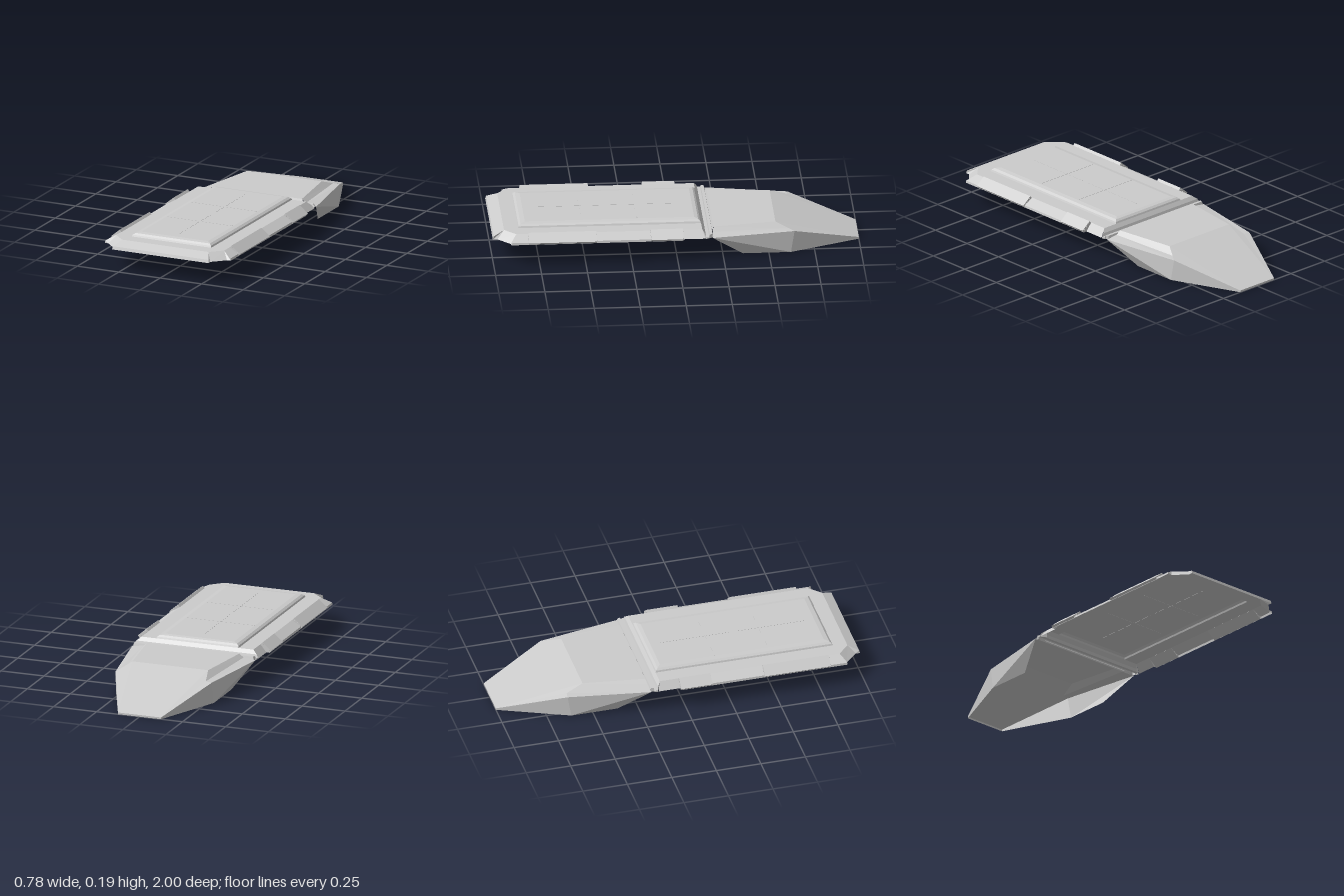
import * as THREE from 'three';

const mat = new THREE.MeshStandardMaterial({ color: 0xcccccc, flatShading: true, side: THREE.DoubleSide });

// Sheet-metal part from convex polygons; each one is also mirrored across x = 0
function sheet(name, polys, mirror = true) {
  const pos = [];
  const fan = (p) => {
    for (let i = 1; i < p.length - 1; i++) pos.push(...p[0], ...p[i], ...p[i + 1]);
  };
  for (const p of polys) {
    fan(p);
    if (mirror) fan(p.map(([x, y, z]) => [-x, y, z]).reverse());
  }
  const geo = new THREE.BufferGeometry();
  geo.setAttribute('position', new THREE.Float32BufferAttribute(pos, 3));
  geo.computeVertexNormals();
  const mesh = new THREE.Mesh(geo, mat);
  mesh.name = name;
  return mesh;
}

function box(name, w, h, d, x, y, z) {
  const mesh = new THREE.Mesh(new THREE.BoxGeometry(w, h, d), mat);
  mesh.position.set(x, y, z);
  mesh.name = name;
  return mesh;
}

// Wedge-shaped nose, open underneath
function createNose() {
  const g = new THREE.Group();
  g.name = 'nose';
  const tip = [0.125, 0.01, -1], tipLow = [0.125, 0, -1];
  const shoulder = [0.28, 0.12, -0.64], chine = [0.285, 0, -0.62];
  const chineRear = [0.285, 0, -0.36], rear = [0.358, 0.125, -0.19];
  const panelFront = [0.22, 0.155, -0.54], panelRear = [0.268, 0.155, -0.2];
  const ledgeFront = [0.243, 0.122, -0.635], ledgeRear = [0.292, 0.135, -0.195];
  g.add(sheet('noseSlope', [
    [[0, 0.155, -0.54], panelFront, tip, [0, 0.01, -1]],
    [panelFront, ledgeFront, shoulder, tip],
    [[0, 0.01, -1], tip, tipLow, [0, 0, -1]],
  ]));
  g.add(sheet('hoodPanel', [
    [[0, 0.155, -0.2], panelRear, panelFront, [0, 0.155, -0.54]],
    [panelRear, ledgeRear, ledgeFront, panelFront],
    [[0, 0.13, -0.19], [0.292, 0.13, -0.19], panelRear, [0, 0.155, -0.2]],
  ]));
  g.add(sheet('hoodLedge', [[ledgeRear, rear, shoulder, ledgeFront]]));
  g.add(sheet('noseSide', [
    [tip, shoulder, chine, tipLow],
    [shoulder, rear, chine],
    [rear, chineRear, chine],
  ]));
  return g;
}

// Stepped strip joining the nose and the roof
function createJoint() {
  const prof = [[-0.195, 0.125, 0.352], [-0.19, 0.143, 0.345], [-0.175, 0.143, 0.35],
    [-0.172, 0.13, 0.358], [-0.155, 0.13, 0.36], [-0.15, 0.145, 0.35], [-0.135, 0.165, 0.325]];
  const polys = [];
  for (let i = 0; i < prof.length - 1; i++) {
    const [z0, y0, x0] = prof[i], [z1, y1, x1] = prof[i + 1];
    polys.push([[0, y1, z1], [x1, y1, z1], [x0, y0, z0], [0, y0, z0]]);
    polys.push([[x1, y1, z1], [x1, 0.122, z1], [x0, 0.122, z0], [x0, y0, z0]]);
  }
  return sheet('joint', polys);
}

// Flat deck with sloping eaves and chamfered rear corners
function createRim() {
  const g = new THREE.Group();
  g.name = 'roofRim';
  const T = 0.165, B = 0.123;
  const side = [0.325, T, 0.875], back = [0.26, T, 0.937];
  g.add(sheet('deck', [
    [[0.24, T, -0.135], [0.24, T, 0.86], side, [0.325, T, -0.135]],
    [[0, T, 0.86], [0, T, 0.937], back, side, [0.24, T, 0.86]],
  ]));
  g.add(sheet('sideEave', [
    [[0.325, T, -0.135], [0.325, T, -0.03], [0.36, B, -0.03], [0.36, B, -0.15]],
    [[0.325, T, -0.03], side, [0.378, 0.135, 0.905], [0.378, 0.135, -0.03]],
    [[0.378, 0.135, -0.03], [0.378, 0.135, 0.905], [0.38, B, 0.905], [0.38, B, -0.03]],
    [[0.325, T, -0.03], [0.378, 0.135, -0.03], [0.38, B, -0.03], [0.36, B, -0.03]],
  ]));
  g.add(sheet('cornerEave', [
    [side, back, [0.29, B, 0.975], [0.358, B, 0.908]],
    [side, [0.358, B, 0.908], [0.38, B, 0.905], [0.378, 0.135, 0.905]],
  ]));
  g.add(sheet('rearEave', [
    [[0, T, 0.937], [0, 0.14, 0.995], [0.288, 0.14, 0.995], back],
    [[0, 0.14, 0.995], [0, B, 1], [0.29, B, 1], [0.288, 0.14, 0.995]],
    [back, [0.288, 0.14, 0.995], [0.29, B, 1], [0.29, B, 0.975]],
  ]));
  return g;
}

// Raised centre with rolled edges and fine panel seams
function createRaisedRoof() {
  const g = new THREE.Group();
  g.name = 'raisedRoof';
  const rings = [[0.24, -0.135, 0.86, 0.165], [0.236, -0.131, 0.856, 0.174],
    [0.224, -0.12, 0.845, 0.183], [0.2, -0.1, 0.82, 0.187]]
    .map(([x, a, b, y]) => [[-x, y, a], [-x, y, b], [x, y, b], [x, y, a]]);
  const polys = [rings[3]];
  for (let i = 0; i < 3; i++) {
    for (let k = 0; k < 4; k++) {
      const n = (k + 1) % 4;
      polys.push([rings[i][k], rings[i][n], rings[i + 1][n], rings[i + 1][k]]);
    }
  }
  g.add(sheet('roofPanel', polys, false));
  for (const [z, cross] of [[0.15, 0.21], [0.575, 0.51]]) {
    g.add(box('longSeam', 0.005, 0.002, 0.385, 0, 0.187, z));
    g.add(box('crossSeam', 0.39, 0.002, 0.005, 0, 0.187, cross));
  }
  return g;
}

// Tilted pad on the eave, with three thin rods running through it
function createSidePad(s, z0, z1) {
  const g = new THREE.Group();
  g.name = 'sidePad';
  const len = z1 - z0;
  g.add(box('padPlate', 0.066, 0.017, len, 0, 0, 0));
  for (const x of [-0.02, 0, 0.02]) {
    const rod = new THREE.Mesh(new THREE.CylinderGeometry(0.005, 0.005, len + 0.004, 10), mat);
    rod.rotation.x = Math.PI / 2;
    rod.position.x = x;
    rod.name = 'padRod';
    g.add(rod);
  }
  g.position.set(s * 0.357, 0.149, (z0 + z1) / 2);
  g.rotation.z = -s * 0.69;
  return g;
}

export function createModel() {
  const model = new THREE.Group();
  model.name = 'vehicleRoofAndNose';
  model.add(createNose(), createJoint(), createRim(), createRaisedRoof());
  for (const s of [-1, 1]) {
    model.add(createSidePad(s, -0.03, 0.145), createSidePad(s, 0.44, 0.81));
  }
  return model;
}
